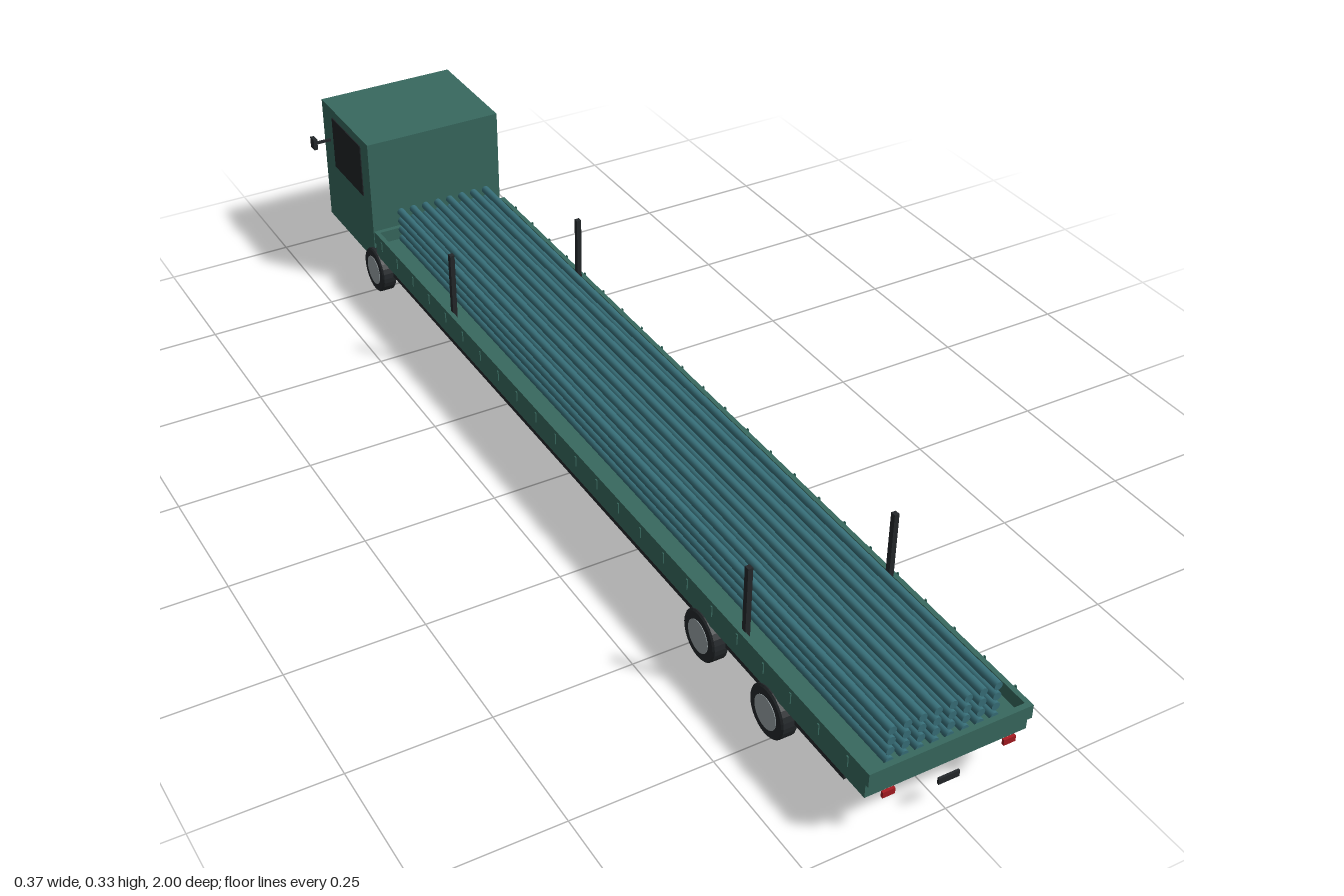
import * as THREE from 'three';

const mat = (color) => new THREE.MeshStandardMaterial({ color });

export function createModel() {
  const truck = new THREE.Group();
  truck.name = 'flatbedTruck';
  const green = mat(0x38695f), dark = mat(0x24282b), teal = mat(0x38707a);
  const glass = mat(0x2a3c48), sideGlass = mat(0x202427), hubGrey = mat(0x98a2a5);
  const red = mat(0xa81c22), lamp = mat(0xb8c0bc);

  // Box given by its limits on each axis
  function box(name, material, [x0, x1], [y0, y1], [z0, z1], parent = truck) {
    const mesh = new THREE.Mesh(new THREE.BoxGeometry(x1 - x0, y1 - y0, z1 - z0), material);
    mesh.position.set((x0 + x1) / 2, (y0 + y1) / 2, (z0 + z1) / 2);
    mesh.name = name;
    parent.add(mesh);
    return mesh;
  }
  // Same box on both sides of the truck
  function pair(name, material, [x0, x1], y, z, parent = truck) {
    box(name + 'Left', material, [x0, x1], y, z, parent);
    box(name + 'Right', material, [-x1, -x0], y, z, parent);
  }

  // Chassis and load bed
  box('chassis', dark, [-0.128, 0.128], [0.048, 0.074], [-0.91, 0.915]);
  box('bedDeck', green, [-0.146, 0.146], [0.086, 0.112], [-0.742, 0.99]);
  pair('sideBoard', green, [0.138, 0.147], [0.1135, 0.139], [-0.742, 0.99]);
  box('tailBoard', green, [-0.147, 0.147], [0.1135, 0.139], [0.988, 0.998]);
  box('headBoard', green, [-0.147, 0.147], [0.1135, 0.139], [-0.745, -0.735]);

  // Thin ribs along the side boards
  const ribs = new THREE.Group();
  ribs.name = 'sideRibs';
  truck.add(ribs);
  for (let i = 0; i < 23; i++) {
    const z = 0.95 - i * 0.075;
    pair('rib', green, [0.1505, 0.1525], [0.117, 0.137], [z - 0.002, z + 0.002], ribs);
  }

  // Upright stakes
  for (const z of [0.65, -0.395])
    pair('stake', dark, [0.13, 0.139], [0.112, 0.264], [z - 0.005, z + 0.005]);

  // Load of pipes
  const pipes = new THREE.Group();
  pipes.name = 'pipeLoad';
  truck.add(pipes);
  const pipeGeo = new THREE.CylinderGeometry(0.0075, 0.0075, 1.7, 14).rotateX(Math.PI / 2);
  for (let row = 0; row < 4; row++) {
    for (let col = 0; col < 8; col++) {
      const pipe = new THREE.Mesh(pipeGeo, teal);
      pipe.position.set((col - 3.5) * 0.027, 0.121 + row * 0.0202, 0.125);
      pipe.name = 'pipe';
      pipes.add(pipe);
    }
  }

  // Cab with windows and lamps
  const cab = new THREE.Group();
  cab.name = 'cab';
  truck.add(cab);
  box('cabBody', green, [-0.143, 0.143], [0.06, 0.327], [-0.993, -0.759], cab);
  pair('sideWindow', sideGlass, [0.1455, 0.1475], [0.2, 0.312], [-0.933, -0.79], cab);
  box('windscreen', glass, [-0.13, 0.13], [0.2, 0.308], [-0.997, -0.993], cab);
  box('wiperBar', dark, [-0.12, 0.12], [0.198, 0.206], [-1, -0.997], cab);
  pair('headlight', lamp, [0.085, 0.115], [0.107, 0.121], [-0.998, -0.993], cab);
  pair('mirrorArm', dark, [0.143, 0.176], [0.245, 0.25], [-0.965, -0.96], cab);
  pair('mirror', dark, [0.175, 0.183], [0.237, 0.26], [-0.972, -0.953], cab);

  // Rear lamps and plate
  pair('tailLight', red, [0.098, 0.12], [0.08, 0.091], [0.994, 0.999]);
  box('rearPlate', dark, [-0.019, 0.019], [0.058, 0.07], [0.996, 1]);

  // Wheels
  const r = 0.0465;
  const profile = [[0, -0.015], [r - 0.003, -0.015], [r, -0.012], [r, 0.012], [r - 0.003, 0.015], [0, 0.015]]
    .map(([x, y]) => new THREE.Vector2(x, y));
  const tyreMat = mat(0x24282b);
  tyreMat.flatShading = true;
  const tyreGeo = new THREE.LatheGeometry(profile, 28).rotateZ(Math.PI / 2);
  const hubGeo = new THREE.CylinderGeometry(0.03, 0.03, 0.032, 28).rotateZ(Math.PI / 2);
  for (const z of [0.738, 0.538, -0.752]) {
    for (const side of [1, -1]) {
      const wheel = new THREE.Group();
      wheel.name = 'wheel';
      wheel.position.set(side * 0.136, r, z);
      const tyre = new THREE.Mesh(tyreGeo, tyreMat);
      tyre.name = 'tyre';
      const hub = new THREE.Mesh(hubGeo, hubGrey);
      hub.name = 'hub';
      wheel.add(tyre, hub);
      truck.add(wheel);
    }
  }
  return truck;
}
